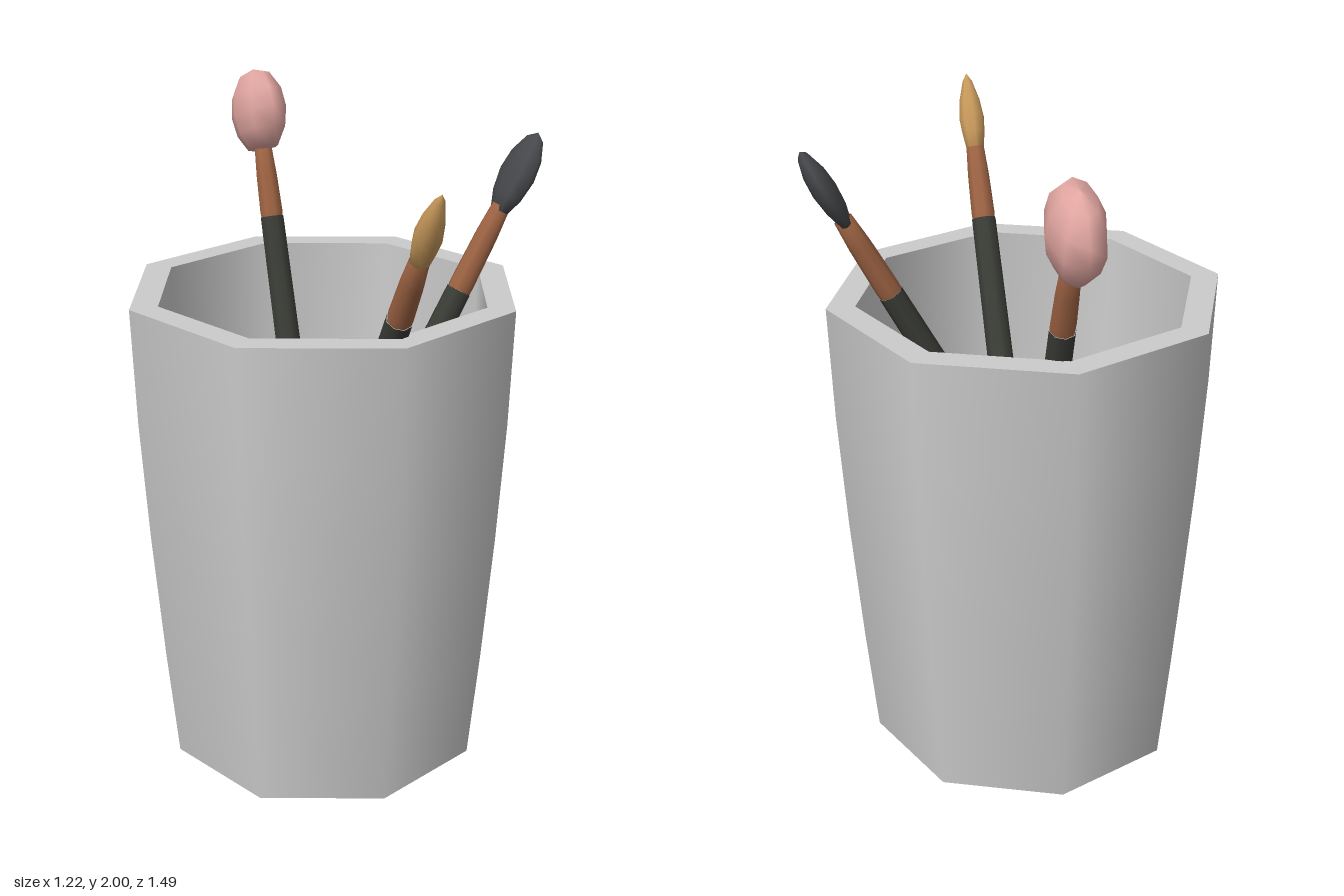
import * as THREE from 'three';

const mat = (color) => new THREE.MeshStandardMaterial({ color });
const cupMat = mat(0xcccccc);
const handleMat = mat(0x3a3c36);
const ferruleMat = mat(0x9c6242);

// Eight-sided turned part from [radius, height] pairs
function turned(name, points, material) {
  const profile = points.map(([r, y]) => new THREE.Vector2(r, y));
  const mesh = new THREE.Mesh(new THREE.LatheGeometry(profile, 8), material);
  mesh.name = name;
  return mesh;
}

// Brush running from its base to its tip; the head is flattened along x
function brush(name, base, tip, ferruleLength, head) {
  const group = new THREE.Group();
  group.name = name;
  const start = new THREE.Vector3(...base);
  const axis = new THREE.Vector3(...tip).sub(start);
  const headStart = axis.length() - head.length;
  const ferruleStart = headStart - ferruleLength;

  group.add(turned('handle', [
    [0, 0], [0.014, 0.004], [0.02, 0.03], [0.032, 0.28], [0.041, 0.52],
    [0.042, 0.85], [0.038, ferruleStart],
  ], handleMat));
  group.add(turned('ferrule', [
    [0.036, ferruleStart], [0.037, ferruleStart + 0.02],
    [0.034, headStart - 0.08], [0.028, headStart + 0.015], [0, headStart + 0.015],
  ], ferruleMat));
  const bristles = turned('bristles', head.profile, mat(head.color));
  bristles.position.y = headStart;
  bristles.scale.x = head.flatten;
  group.add(bristles);

  group.position.copy(start);
  group.quaternion.setFromUnitVectors(new THREE.Vector3(0, 1, 0), axis.normalize());
  return group;
}

export function createModel() {
  const model = new THREE.Group();
  model.name = 'brushCup';

  // Cup: separate surfaces keep the rim and foot edges sharp
  const cup = new THREE.Group();
  cup.name = 'cup';
  cup.position.x = -0.02;
  cup.add(
    turned('outerWall', [[0.49, 0], [0.523, 0.35], [0.555, 0.75], [0.578, 1.12], [0.59, 1.47]], cupMat),
    turned('rim', [[0.59, 1.47], [0.505, 1.47]], cupMat),
    turned('innerWall', [[0.505, 1.47], [0.495, 1.12], [0.475, 0.75], [0.445, 0.37], [0.41, 0.1], [0, 0.1]], cupMat),
    turned('base', [[0, 0], [0.49, 0]], cupMat),
  );
  model.add(cup);

  // Wide powder brush leaning back
  model.add(brush('powderBrush', [0, 0.23, -0.01], [0, 1.995, -0.65], 0.21, {
    length: 0.255, flatten: 0.55, color: 0xe0a5a0,
    profile: [[0, 0], [0.08, 0.008], [0.128, 0.06], [0.146, 0.12], [0.132, 0.18], [0.082, 0.235], [0, 0.255]],
  }));

  // Pointed brush leaning forward
  model.add(brush('pointedBrush', [0, 0.32, -0.23], [0, 1.92, 0.745], 0.22, {
    length: 0.25, flatten: 1, color: 0xc6985a,
    profile: [[0, 0], [0.027, 0], [0.036, 0.06], [0.04, 0.105], [0.032, 0.165], [0.015, 0.225], [0, 0.25]],
  }));

  // Flat oval brush leaning to the left
  const flatBrush = brush('flatBrush', [-0.285, 0.25, 0.12], [0.605, 1.9, 0.12], 0.26, {
    length: 0.25, flatten: 0.45, color: 0x45474a,
    profile: [[0, 0], [0.042, 0], [0.07, 0.05], [0.084, 0.115], [0.074, 0.175], [0.04, 0.23], [0, 0.25]],
  });
  model.add(flatBrush);

  return model;
}
